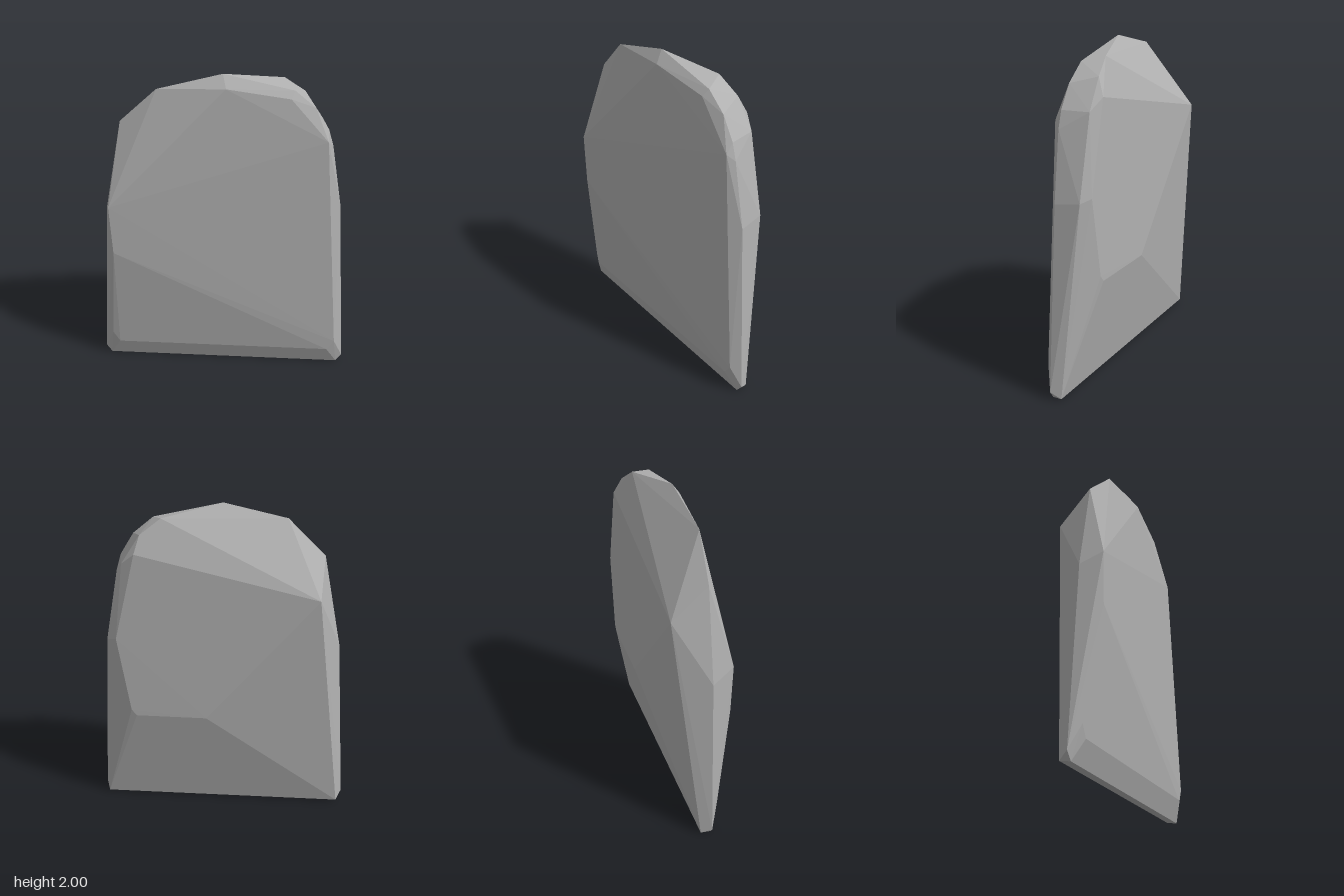
import * as THREE from 'three';
import { ConvexGeometry } from 'three/addons/geometries/ConvexGeometry.js';

export function createModel() {
  const stone = new THREE.MeshStandardMaterial({ color: 0xb0b0b0 });
  stone.name = 'grey stone';

  // Rim: the widest outline, running from the left foot over the top
  const rim = [
    [0.75, 0, 0.045], [0.785, 0.05, 0.04], [0.7, 1.18, 0.03], [0.63, 1.58, 0.04],
    [0.6, 1.68, 0.04], [0.52, 1.81, 0.04], [0.4, 1.91, 0.04], [0, 2, 0.045],
    [-0.37, 1.91, 0.065], [-0.59, 1.7, 0.04], [-0.705, 1.13, 0.04],
    [-0.785, 0.05, 0.04], [-0.75, 0, 0.045],
  ];
  // Front face, fullest along its right edge
  const front = [
    [-0.68, 0.13, 0.09], [-0.72, 0.2, 0.09], [-0.66, 0.88, 0.17], [-0.67, 1.2, 0.17],
    [0.02, 1.93, 0.095], [0.38, 1.87, 0.07], [0.6, 1.62, 0.08],
    [0.725, 0.2, 0.09], [0.68, 0.13, 0.09],
  ];
  // Back face and its worn upper left edge
  const back = [
    [-0.75, 0.01, -0.02], [0.76, 0.01, -0.02], [0.09, 0.7, -0.17], [0.52, 0.7, -0.165],
    [0.55, 0.74, -0.165], [0.62, 1.22, -0.16], [0.68, 1.2, -0.12], [0.49, 1.75, -0.155],
    [0.57, 1.68, -0.12], [0.46, 1.85, -0.11], [0.34, 1.94, -0.08], [-0.57, 1.5, -0.16],
  ];

  // Chiselled slab: flat facets spanning all the corners
  const corners = [...rim, ...front, ...back].map(p => new THREE.Vector3(...p));
  const slab = new THREE.Mesh(new ConvexGeometry(corners), stone);
  slab.name = 'stoneSlab';

  const model = new THREE.Group();
  model.name = 'standingStone';
  model.add(slab);
  return model;
}
